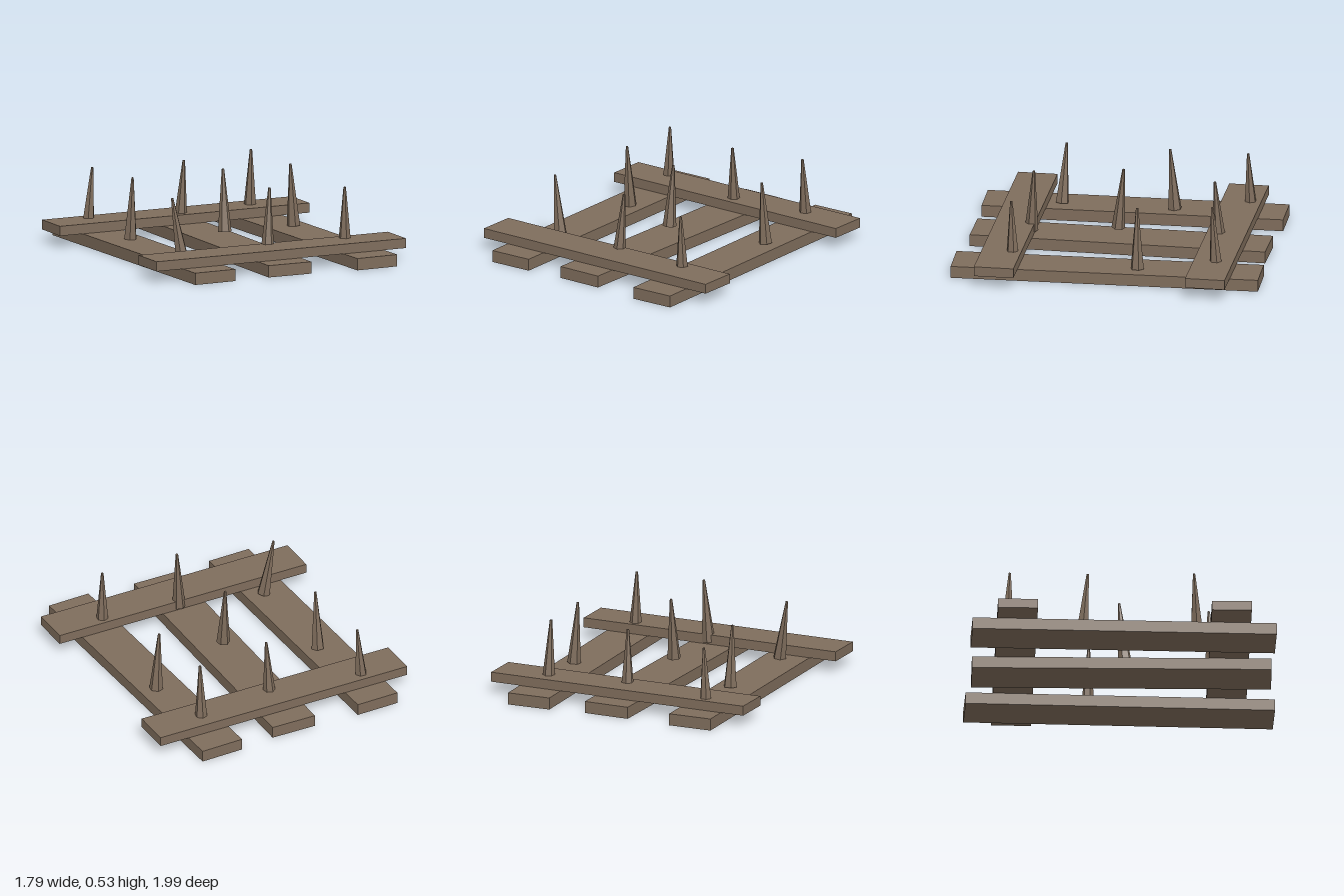
import * as THREE from 'three';

export function createModel() {
  const model = new THREE.Group();
  const wood = new THREE.MeshStandardMaterial({ color: 0x7f6d5c, flatShading: true });
  wood.name = 'weathered wood';

  function addBoard(name, size, position, turn = 0) {
    const mesh = new THREE.Mesh(new THREE.BoxGeometry(...size), wood);
    mesh.name = name;
    mesh.position.set(...position);
    mesh.rotation.y = turn;
    model.add(mesh);
  }

  // Long planks on the ground, each slightly askew
  const plankHeight = 0.077;
  [
    ['rightPlank', 0.29, 1.95, -0.575, 0.02],
    ['middlePlank', 0.305, 1.92, -0.003, -0.01],
    ['leftPlank', 0.29, 1.985, 0.57, 0.028],
  ].forEach(([name, width, length, x, turn]) =>
    addBoard(name, [width, plankHeight, length], [x, plankHeight / 2, 0], turn));

  // Cross boards lying over the planks
  for (const side of [1, -1]) {
    addBoard(side > 0 ? 'frontCrossBoard' : 'backCrossBoard',
      [1.79, 0.063, 0.256], [0, plankHeight + 0.0315, side * 0.685]);
  }

  // Leaning spikes, given as base centre and tip centre
  const up = new THREE.Vector3(0, 1, 0);
  [
    [[-0.6, 0.08, -0.745], [-0.577, 0.468, -0.73]],
    [[0.01, 0.085, -0.638], [0.02, 0.485, -0.61]],
    [[0.54, 0.09, -0.702], [0.535, 0.5, -0.675]],
    [[-0.54, 0.08, -0.262], [-0.54, 0.483, -0.23]],
    [[-0.005, 0.128, 0.02], [0, 0.53, -0.015]],
    [[0.6, 0.08, -0.2], [0.575, 0.483, -0.195]],
    [[-0.54, 0.08, 0.47], [-0.6, 0.467, 0.45]],
    [[0.018, 0.09, 0.58], [0.043, 0.5, 0.56]],
    [[0.555, 0.08, 0.615], [0.55, 0.473, 0.625]],
  ].forEach(([from, to], i) => {
    const base = new THREE.Vector3(...from);
    const tip = new THREE.Vector3(...to);
    const axis = tip.clone().sub(base);
    const spike = new THREE.Mesh(new THREE.CylinderGeometry(0.008, 0.044, axis.length(), 6), wood);
    spike.name = `spike${i + 1}`;
    spike.position.copy(base).add(tip).multiplyScalar(0.5);
    spike.quaternion.setFromUnitVectors(up, axis.normalize());
    spike.rotateY(Math.PI / 6 + i * 0.7);
    model.add(spike);
  });

  return model;
}
